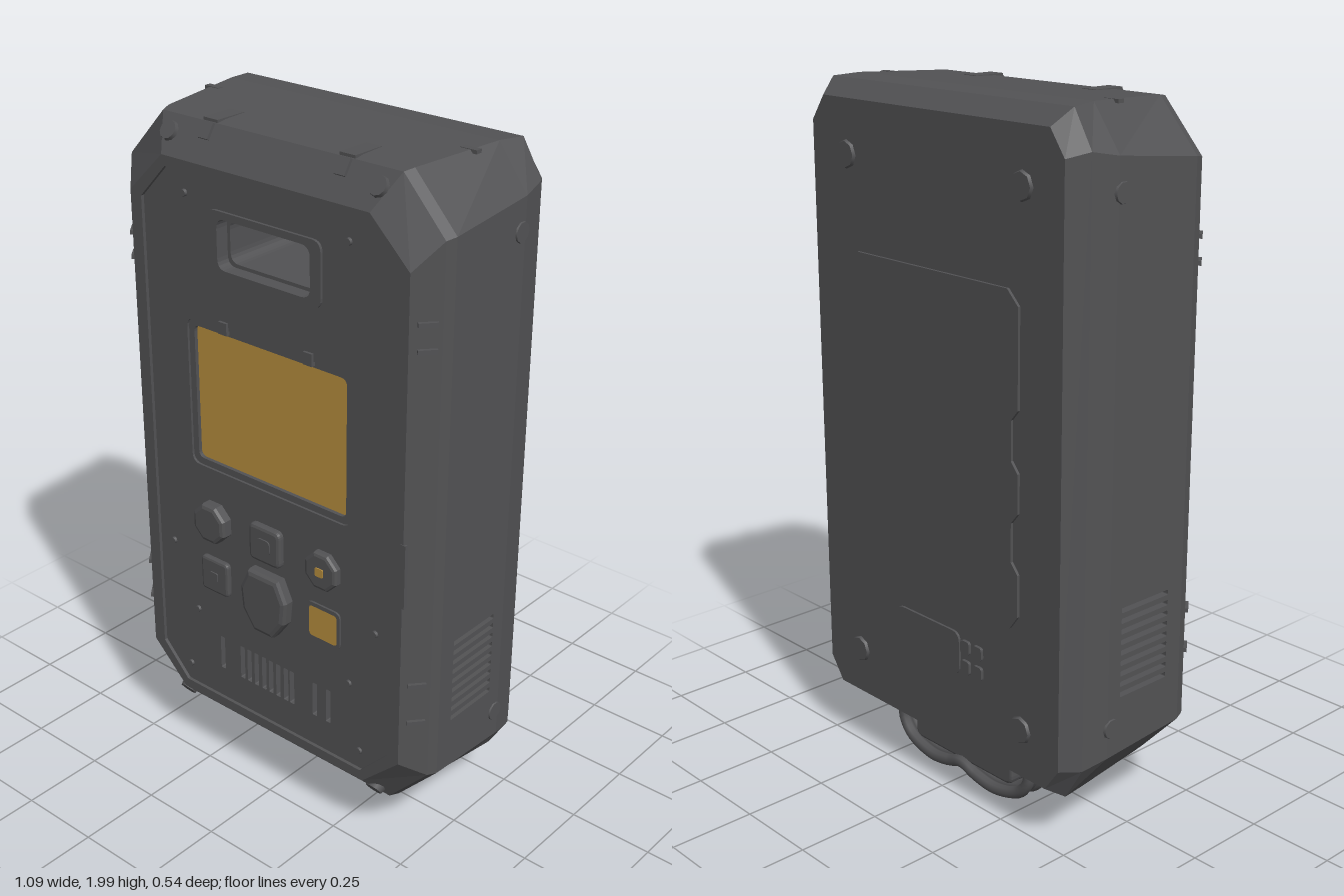
import * as THREE from 'three';

const mat = (name, hex) => Object.assign(new THREE.MeshStandardMaterial({ color: hex }), { name });

export function createModel() {
  const model = new THREE.Group();
  model.name = 'handheldDevice';
  const grey = mat('darkGrey', 0x525254);
  const amber = mat('amber', 0xb98f3e);
  const teal = mat('teal', 0x30a6b6);

  const add = (name, geo, m = grey, parent = model) => {
    const mesh = new THREE.Mesh(geo, m);
    mesh.name = name;
    parent.add(mesh);
    return mesh;
  };
  const poly = pts => new THREE.Shape(pts.map(p => new THREE.Vector2(p[0], p[1])));
  const rect = (cx, cy, w, h, r = 0.01) => {
    const s = new THREE.Shape(), x = cx - w / 2, y = cy - h / 2;
    s.moveTo(x + r, y);
    s.lineTo(x + w - r, y); s.quadraticCurveTo(x + w, y, x + w, y + r);
    s.lineTo(x + w, y + h - r); s.quadraticCurveTo(x + w, y + h, x + w - r, y + h);
    s.lineTo(x + r, y + h); s.quadraticCurveTo(x, y + h, x, y + h - r);
    s.lineTo(x, y + r); s.quadraticCurveTo(x, y, x + r, y);
    return s;
  };
  const cut = (shape, ...holes) => { shape.holes.push(...holes); return shape; };
  // Extrude from z0 to z1, with an optional bevel that stays inside the outline
  const ext = (shape, z0, z1, b = 0) => new THREE.ExtrudeGeometry(shape, {
    depth: z1 - z0 - 2 * b, bevelEnabled: b > 0, bevelSize: b, bevelThickness: b,
    bevelOffset: -b, bevelSegments: 2, curveSegments: 5,
  }).translate(0, 0, z0 + b);
  const octagon = (hx, yt, yb, half, c) => [
    [hx, yb + c], [hx, yt - c], [half, yt], [-half, yt],
    [-hx, yt - c], [-hx, yb + c], [-half, yb], [half, yb]];

  // Case shell: octagonal sections from front to back [z, half width, top, bottom, half top edge, corner cut]
  const levels = [
    [0.242, 0.475, 1.89, 0.22, 0.35, 0.12],
    [0.18, 0.53, 1.985, 0.155, 0.40, 0.14],
    [0.15, 0.54, 1.99, 0.15, 0.41, 0.14],
    [-0.13, 0.54, 2.0, 0.15, 0.45, 0.12],
    [-0.21, 0.525, 1.995, 0.155, 0.465, 0.10],
    [-0.265, 0.49, 1.95, 0.19, 0.44, 0.07],
  ];
  const rings = levels.map(([z, ...o]) => octagon(...o).map(p => [...p, z]));
  const pos = [];
  for (let k = 0; k < rings.length - 1; k++) for (let i = 0; i < 8; i++) {
    if (k === 2 && i % 4 === 0) continue; // side walls are separate plates with vents
    const j = (i + 1) % 8, [a, b, c, d] = [rings[k][i], rings[k][j], rings[k + 1][i], rings[k + 1][j]];
    pos.push(...a, ...c, ...d, ...a, ...d, ...b);
  }
  const back = rings[rings.length - 1];
  for (let i = 1; i < 7; i++) pos.push(...back[0], ...back[i + 1], ...back[i]);
  const shell = new THREE.BufferGeometry();
  shell.setAttribute('position', new THREE.Float32BufferAttribute(pos, 3));
  shell.computeVertexNormals();
  add('caseShell', shell);

  // Front rim and the slightly sunken face panel
  const inner = octagon(0.435, 1.86, 0.25, 0.34, 0.10);
  add('frontRim', ext(cut(poly(rings[0]), poly(inner)), 0.215, 0.242));
  const slotXs = [-0.195, -0.115, -0.088, -0.06, -0.03, -0.003, 0.025, 0.055, 0.078, 0.165, 0.215];
  const slots = slotXs.map(x => rect(x, 0.405, 0.017, 0.11, 0.004));
  add('facePanel', ext(cut(poly(inner), rect(0, 1.69, 0.32, 0.14, 0.03),
    rect(0, 1.23, 0.58, 0.44, 0.03), ...slots), 0.2, 0.232));
  add('frontVentBack', new THREE.BoxGeometry(0.5, 0.16, 0.01).translate(0, 0.405, 0.197));

  // Deep window with a lens at its end
  add('windowFrame', ext(cut(rect(0, 1.69, 0.39, 0.18, 0.03), rect(0, 1.69, 0.32, 0.14, 0.03)), 0.225, 0.24));
  add('windowTunnel', ext(cut(rect(0, 1.69, 0.36, 0.18, 0.03), rect(0, 1.69, 0.3, 0.12, 0.03)), -0.1, 0.2));
  add('windowBack', new THREE.BoxGeometry(0.36, 0.18, 0.01).translate(0, 1.69, -0.105));
  add('lens', ext(rect(-0.003, 1.69, 0.28, 0.105, 0.03), -0.1, -0.092), teal);

  // Screen in its bezel
  add('screenBezel', ext(cut(rect(0, 1.23, 0.58, 0.44, 0.03), rect(0, 1.23, 0.54, 0.4, 0.02)), 0.2, 0.225));
  add('screen', ext(rect(0, 1.23, 0.55, 0.41, 0.02), 0.206, 0.214), amber);
  for (const s of [-1, 1])
    add('screenClip', new THREE.BoxGeometry(0.03, 0.035, 0.012).translate(s * 0.15, 1.455, 0.234));

  // Buttons
  const oct = (x, y, r) => poly([...Array(8)].map((_, i) => {
    const a = (i + 0.5) * Math.PI / 4;
    return [x + r * Math.cos(a), y + r * Math.sin(a)];
  }));
  add('roundButton', ext(oct(-0.205, 0.85, 0.063), 0.22, 0.268, 0.012));
  add('squareButton', ext(rect(-0.005, 0.85, 0.115, 0.115, 0.02), 0.22, 0.252, 0.01));
  add('squareButtonDimple', ext(rect(-0.005, 0.85, 0.05, 0.045, 0.015), 0.25, 0.256));
  add('lightButton', ext(oct(0.202, 0.85, 0.06), 0.22, 0.255, 0.01));
  add('buttonLight', ext(rect(0.202, 0.85, 0.028, 0.026, 0.005), 0.252, 0.258), amber);
  add('crossButton', ext(rect(-0.205, 0.67, 0.105, 0.11, 0.015), 0.22, 0.248, 0.008));
  add('crossMark', ext(rect(-0.205, 0.67, 0.03, 0.03, 0.005), 0.246, 0.252));
  add('amberButtonFrame', ext(cut(rect(0.2, 0.672, 0.12, 0.12, 0.02), rect(0.2, 0.672, 0.1, 0.096, 0.012)), 0.225, 0.238));
  add('amberButton', ext(rect(0.2, 0.672, 0.1, 0.096, 0.012), 0.23, 0.238), amber);
  add('mainButton', ext(poly([[-0.055, 0.763], [-0.085, 0.7], [-0.078, 0.63], [-0.035, 0.57],
    [0.035, 0.57], [0.078, 0.63], [0.085, 0.7], [0.055, 0.763]]), 0.22, 0.27, 0.014));

  // Rivets on the face panel
  for (const s of [-1, 1]) for (const [x, y] of [[0.28, 1.8], [0.38, 0.72], [0.29, 0.52], [0.33, 0.31]])
    add('faceRivet', new THREE.CylinderGeometry(0.009, 0.011, 0.008, 8).rotateX(Math.PI / 2).translate(s * x, y, 0.235));
  add('sideLatch', new THREE.BoxGeometry(0.016, 0.19, 0.012).translate(0.475, 0.94, 0.238));

  for (const s of [-1, 1]) {
    // Side wall with louvred vent
    const u = z => -s * z;
    const wall = poly([[u(0.15), 0.29], [u(-0.13), 0.27], [u(-0.13), 1.88], [u(0.15), 1.85]]);
    for (let i = 0; i < 9; i++) wall.holes.push(rect(u(0.005), 0.445 + i * 0.0305, 0.18, 0.015, 0.004));
    add('sideWall', ext(wall, 0.515, 0.54).rotateY(s * Math.PI / 2));
    add('sideVentBack', new THREE.BoxGeometry(0.01, 0.32, 0.22).translate(s * 0.513, 0.57, 0.005));

    // Side screws and edge ribs
    for (const y of [0.355, 1.79])
      add('sideScrew', new THREE.CylinderGeometry(0.027, 0.03, 0.008, 10).rotateZ(-s * Math.PI / 2).translate(s * 0.54, y, -0.115));
    for (const y of [0.48, 0.6, 1.57, 1.64])
      add('edgeRib', new THREE.BoxGeometry(0.012, 0.012, 0.05).rotateY(-s * 0.7).translate(s * 0.508, y, 0.21));

    // Bolts on the sloping front edges, and top clips
    for (const [x, y, t] of [[0.35, 1.945, 0.99], [0.37, 0.19, Math.PI - 0.95]]) {
      const bolt = add('cornerBolt', new THREE.CylinderGeometry(0.026, 0.03, 0.02, 10));
      bolt.position.set(s * x, y, 0.207);
      bolt.rotation.x = t;
    }
    add('topClip', new THREE.BoxGeometry(0.05, 0.008, 0.1).translate(s * 0.228, 1.99, 0.13));
    const hook = add('topClipHook', new THREE.BoxGeometry(0.036, 0.014, 0.045));
    hook.position.set(s * 0.228, 1.965, 0.195);
    hook.rotation.x = 0.99;
    add('topSeamTab', new THREE.BoxGeometry(0.05, 0.01, 0.02).translate(s * 0.43, 1.993, -0.04));

    // Back feet
    for (const y of [0.33, 1.8])
      add('backFoot', new THREE.CylinderGeometry(0.036, 0.042, 0.012, 8).rotateX(-Math.PI / 2).translate(s * 0.345, y, -0.267));
  }

  // Back cover with notched sides
  const edge = [[0.31, 0.62], [0.34, 0.66], [0.34, 0.78], [0.315, 0.81], [0.315, 0.92], [0.34, 0.95],
    [0.34, 1.06], [0.315, 1.09], [0.315, 1.2], [0.34, 1.23], [0.34, 1.5], [0.3, 1.54]];
  add('backCover', ext(poly([...edge, ...edge.map(([x, y]) => [-x, y]).reverse()]), -0.273, -0.26));
  add('backPlate', ext(rect(0.03, 0.47, 0.27, 0.13, 0.03), -0.272, -0.26));
  for (const x of [-0.13, -0.18]) for (const y of [0.44, 0.5])
    add('backStud', ext(rect(x, y, 0.035, 0.04, 0.01), -0.274, -0.26));

  // Cord bundle hanging under the case around a socket block
  add('cordBlock', ext(rect(0, 0.115, 0.42, 0.11, 0.03), -0.17, -0.08, 0.008));
  const half = [[0.25, 0.17], [0.27, 0.11], [0.235, 0.055], [0.14, 0.025], [0.06, 0.035]];
  const path = [...half, [0, 0.055], ...half.map(([x, y]) => [-x, y]).reverse()];
  for (let i = 0; i < 4; i++) {
    const pts = path.map(([x, y], k) => new THREE.Vector3(
      x * (1 + 0.015 * (i % 2)), y + 0.007 * ((i + 1) % 2), -0.075 - i * 0.028 - 0.012 * (1 - Math.abs(k - 5) / 5)));
    add('cord', new THREE.TubeGeometry(new THREE.CatmullRomCurve3(pts), 48, 0.018, 8));
  }
  return model;
}
